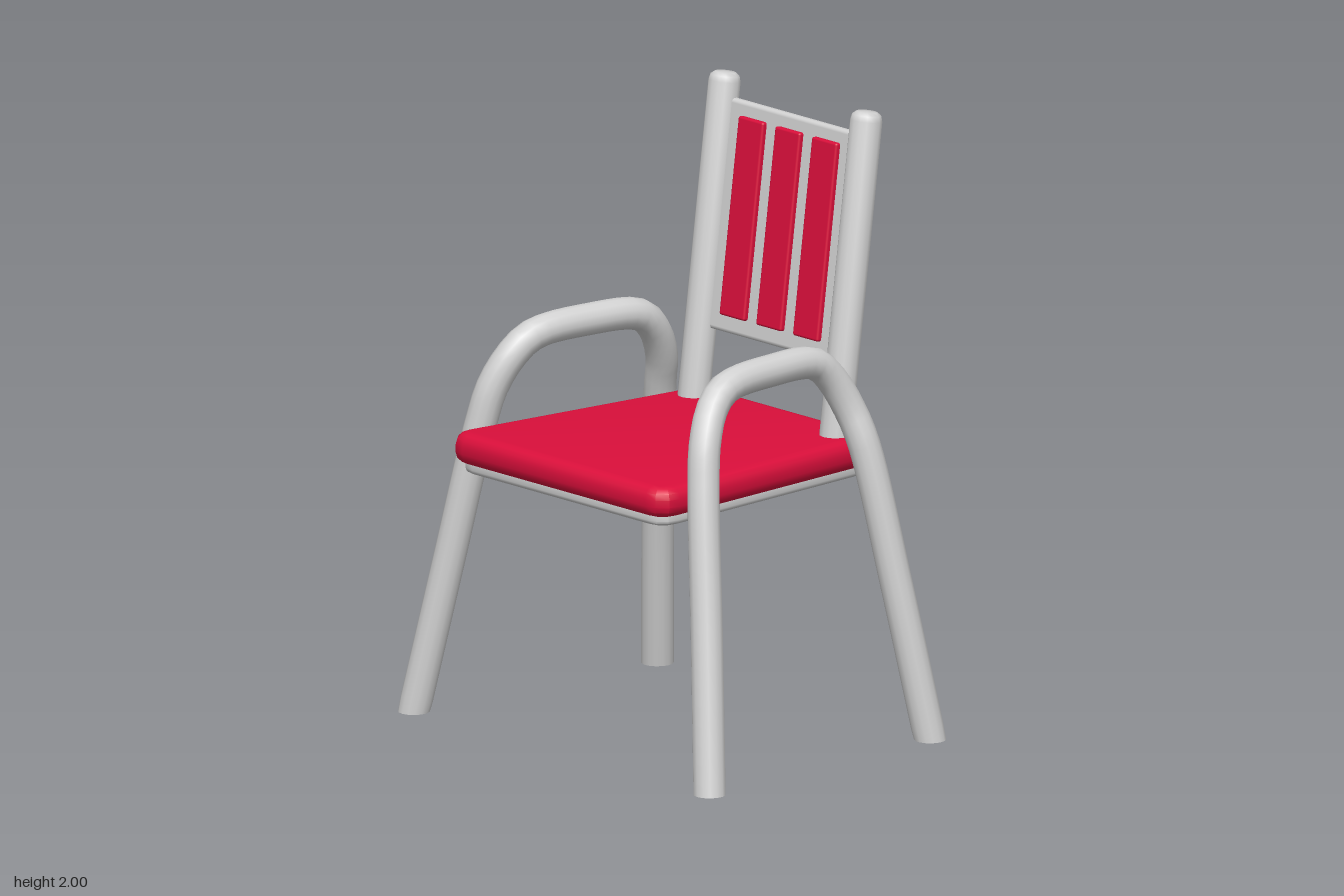
import * as THREE from 'three';
import { toCreasedNormals } from 'three/addons/utils/BufferGeometryUtils.js';
import { RoundedBoxGeometry } from 'three/addons/geometries/RoundedBoxGeometry.js';

const red = new THREE.MeshStandardMaterial({ color: 0xdb0f3b });
red.name = 'red cushion';
const grey = new THREE.MeshStandardMaterial({ color: 0xd2d2d2 });
grey.name = 'grey frame';

const TUBE = 0.052;

function part(name, geometry, material, parent) {
  const mesh = new THREE.Mesh(geometry, material);
  mesh.name = name;
  parent.add(mesh);
  return mesh;
}

// Trapezoid slab with rounded corners and bevelled rim; y runs from bottom to top
function slab(front, back, zFront, zBack, bottom, top, bevel, corner) {
  const f = front - bevel, b = back - bevel, zf = zFront - bevel, zb = zBack + bevel;
  const shape = new THREE.Shape();
  shape.moveTo(-f + corner, zf);
  shape.lineTo(f - corner, zf);
  shape.quadraticCurveTo(f, zf, f - 0.08 * corner, zf - corner);
  shape.lineTo(b + 0.08 * corner, zb + corner);
  shape.quadraticCurveTo(b, zb, b - corner, zb);
  shape.lineTo(-b + corner, zb);
  shape.quadraticCurveTo(-b, zb, -b - 0.08 * corner, zb + corner);
  shape.lineTo(-f + 0.08 * corner, zf - corner);
  shape.quadraticCurveTo(-f, zf, -f + corner, zf);
  const geo = new THREE.ExtrudeGeometry(shape, {
    depth: top - bottom - 2 * bevel, bevelThickness: bevel, bevelSize: bevel,
    bevelSegments: 3, curveSegments: 3,
  });
  geo.rotateX(Math.PI / 2).translate(0, top - bevel, 0);
  return toCreasedNormals(geo, 0.65);
}

// One bent tube: front leg, armrest and rear leg
function sideFrame(side) {
  const points = [
    [0.705, 0, 0.5], [0.615, 0.5, 0.432], [0.53, 0.96, 0.37], [0.505, 1.08, 0.342],
    [0.475, 1.18, 0.285], [0.458, 1.232, 0.215], [0.435, 1.25, 0],
    [0.417, 1.235, -0.2], [0.422, 1.18, -0.265], [0.445, 1.08, -0.32],
    [0.486, 0.96, -0.35], [0.57, 0.5, -0.415], [0.65, 0, -0.485],
  ].map(([x, y, z]) => new THREE.Vector3(side * x, y, z));
  const curve = new THREE.CatmullRomCurve3(points);
  const length = 72, sides = 14;
  const geo = new THREE.TubeGeometry(curve, length, TUBE, sides);
  // Cut both feet level with the floor
  const pos = geo.attributes.position;
  for (let i = 0; i <= sides; i++) {
    pos.setY(i, 0);
    pos.setY(length * (sides + 1) + i, 0);
  }
  const group = new THREE.Group();
  group.name = side > 0 ? 'leftSideFrame' : 'rightSideFrame';
  part('legsAndArmrest', geo, grey, group);
  for (const foot of [points[0], points[points.length - 1]]) {
    const cap = part('footCap', new THREE.CircleGeometry(TUBE, sides), grey, group);
    cap.rotation.x = Math.PI / 2;
    cap.position.copy(foot);
  }
  return group;
}

// Tilted backrest: posts, panel and slats
function backrest() {
  const group = new THREE.Group();
  group.name = 'backrest';
  const profile = [[0, -0.06], [TUBE, -0.06], [TUBE, 1.025], [0.047, 1.043], [0.034, 1.053], [0, 1.055]]
    .map(([r, y]) => new THREE.Vector2(r, y));
  const postGeo = toCreasedNormals(new THREE.LatheGeometry(profile, 14), 0.9);
  for (const side of [-1, 1]) {
    part(side > 0 ? 'leftPost' : 'rightPost', postGeo, grey, group).position.x = side * 0.338;
  }
  part('backPanel', new RoundedBoxGeometry(0.62, 0.745, 0.035, 2, 0.014), grey, group)
    .position.set(0, 0.605, -0.011);
  for (let i = -1; i <= 1; i++) {
    part('backSlat', new RoundedBoxGeometry(0.12, 0.642, 0.03, 2, 0.008), red, group)
      .position.set(i * 0.175, 0.61, 0.008);
  }
  group.position.set(0, 0.95, -0.36);
  group.rotation.x = -0.129;
  return group;
}

export function createModel() {
  const chair = new THREE.Group();
  chair.name = 'chair';
  part('seatCushion', slab(0.515, 0.435, 0.535, -0.475, 0.86, 0.96, 0.038, 0.045), red, chair);
  part('seatBase', slab(0.49, 0.41, 0.51, -0.45, 0.83, 0.88, 0.015, 0.06), grey, chair);
  chair.add(backrest(), sideFrame(1), sideFrame(-1));
  return chair;
}
